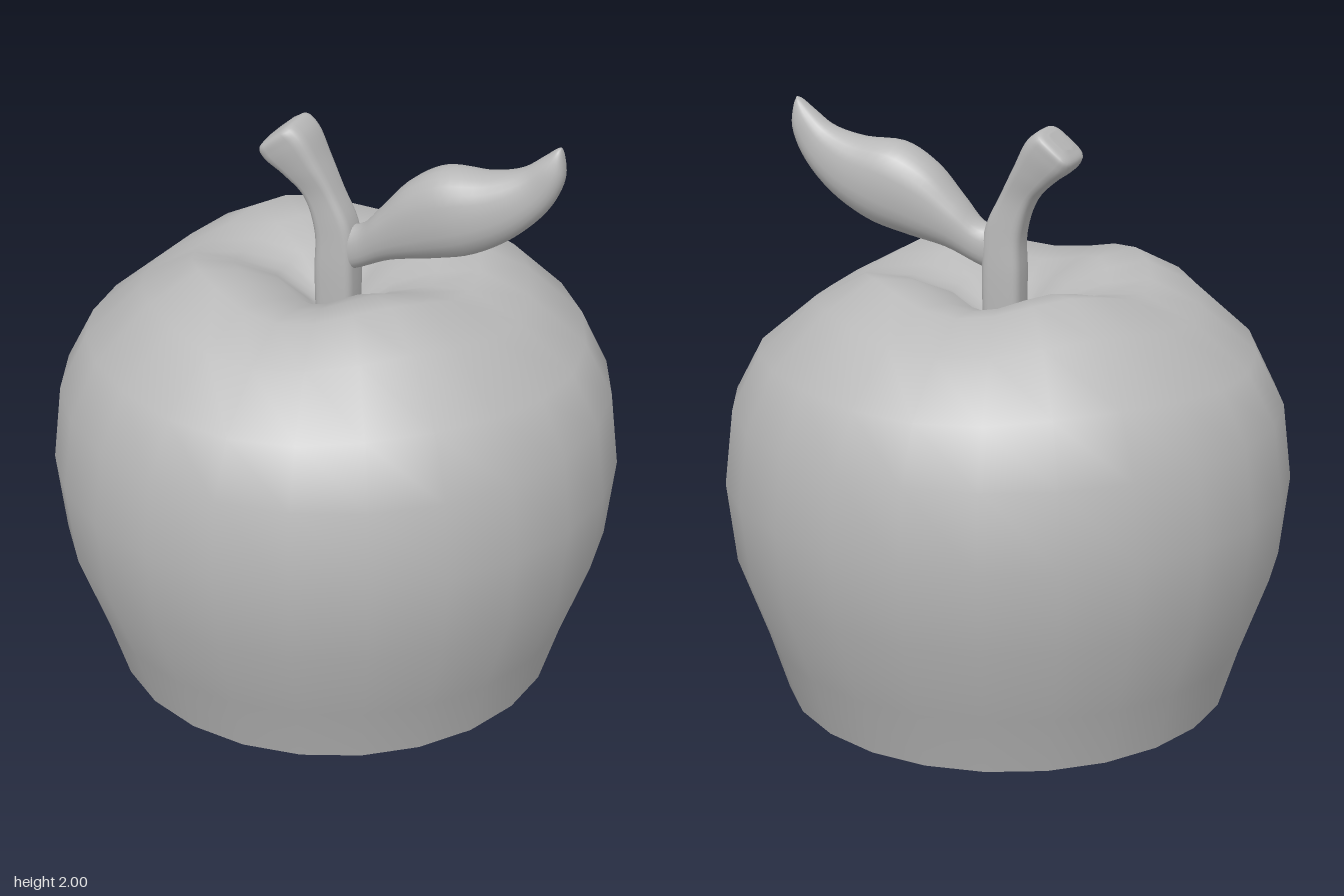
import * as THREE from 'three';
import { mergeVertices } from 'three/addons/utils/BufferGeometryUtils.js';

const grey = new THREE.MeshStandardMaterial({ color: 0xb8b8b8 });
grey.name = 'plain grey';

function addMesh(parent, name, geometry) {
  const mesh = new THREE.Mesh(geometry, grey);
  mesh.name = name;
  parent.add(mesh);
  return mesh;
}

// Weld the seam so that normals run smoothly all the way round
function smooth(geometry) {
  geometry.deleteAttribute('uv');
  geometry.deleteAttribute('normal');
  const welded = mergeVertices(geometry, 1e-4);
  welded.computeVertexNormals();
  return welded;
}

// Turned body whose shoulder sinks between four diagonal lobes
function bodyGeometry() {
  const profile = [
    [0.77, 0], [0.835, 0.21], [0.935, 0.49], [0.966, 0.77], [0.935, 1.03],
    [0.84, 1.23], [0.65, 1.41], [0.48, 1.5], [0.34, 1.48], [0.2, 1.42],
    [0.1, 1.33], [0, 1.25],
  ].map(([r, y]) => new THREE.Vector2(r, y));
  const geometry = new THREE.LatheGeometry(profile, 24);
  const p = geometry.attributes.position;
  for (let i = 0; i < p.count; i++) {
    const x = p.getX(i), y = p.getY(i), z = p.getZ(i);
    if (y < 1.1) continue;
    const r = Math.hypot(x, z);
    const dip = 0.062 * Math.sin(Math.PI * Math.min(r / 0.97, 1));
    p.setY(i, y - dip * Math.cos(2 * Math.atan2(x, z)) ** 2);
  }
  return smooth(geometry);
}

// Loft through sections [ax, ay, bx, by, halfDepth], a and b being opposite edges.
// A power below 1 squares off the section.
function loft(sections, power, steps = 40, sides = 24) {
  const edge = (k) => new THREE.CatmullRomCurve3(
    sections.map((s) => new THREE.Vector3(s[k], s[k + 1], s[4])));
  const edgeA = edge(0), edgeB = edge(2);
  const soft = (v) => Math.sign(v) * Math.abs(v) ** power;
  const positions = [], index = [];
  for (let i = 0; i <= steps; i++) {
    const a = edgeA.getPoint(i / steps), b = edgeB.getPoint(i / steps);
    for (let j = 0; j < sides; j++) {
      const t = (j / sides) * Math.PI * 2;
      const u = soft(Math.cos(t)) / 2;
      positions.push((a.x + b.x) / 2 + (b.x - a.x) * u,
        (a.y + b.y) / 2 + (b.y - a.y) * u, a.z * soft(Math.sin(t)));
      if (i === steps) continue;
      const n = (j + 1) % sides, row = i * sides, next = row + sides;
      index.push(row + j, row + n, next + j, row + n, next + n, next + j);
    }
  }
  // Close both ends
  for (const [row, flip] of [[0, true], [steps * sides, false]]) {
    for (let j = 1; j < sides - 1; j++) {
      if (flip) index.push(row, row + j + 1, row + j);
      else index.push(row, row + j, row + j + 1);
    }
  }
  const geometry = new THREE.BufferGeometry();
  geometry.setAttribute('position', new THREE.Float32BufferAttribute(positions, 3));
  geometry.setIndex(index);
  geometry.computeVertexNormals();
  return geometry;
}

export function createModel() {
  const model = new THREE.Group();
  model.name = 'apple';

  addMesh(model, 'body', bodyGeometry());

  // Flat underside with the same corners as the body
  const base = addMesh(model, 'base', new THREE.CircleGeometry(0.77, 24));
  base.rotation.x = Math.PI / 2;

  const top = new THREE.Group();
  top.name = 'stemAndLeaf';
  top.position.z = 0.04;
  model.add(top);

  // Squared stem, bending left and widening to its cut end
  addMesh(top, 'stem', loft([
    [0.09, 1.2, -0.04, 1.2, 0.06],
    [0.095, 1.45, -0.045, 1.45, 0.066],
    [0.085, 1.61, -0.045, 1.59, 0.062],
    [0.03, 1.73, -0.085, 1.71, 0.062],
    [-0.02, 1.83, -0.155, 1.78, 0.08],
    [-0.07, 1.925, -0.215, 1.825, 0.094],
    [-0.11, 1.955, -0.23, 1.855, 0.092],
    [-0.145, 1.945, -0.205, 1.895, 0.05],
  ], 0.5));

  // Plump leaf growing out of the stem and curling up to a point
  addMesh(top, 'leaf', loft([
    [0.02, 1.44, 0, 1.62, 0.045],
    [0.11, 1.475, 0.1, 1.62, 0.06],
    [0.22, 1.525, 0.18, 1.7, 0.085],
    [0.37, 1.56, 0.28, 1.81, 0.108],
    [0.51, 1.6, 0.39, 1.872, 0.114],
    [0.65, 1.685, 0.54, 1.88, 0.09],
    [0.755, 1.8, 0.65, 1.91, 0.06],
    [0.795, 1.9, 0.72, 1.96, 0.042],
    [0.788, 1.975, 0.765, 1.995, 0.02],
    [0.78, 2, 0.778, 2, 0.004],
  ], 0.85));

  return model;
}
